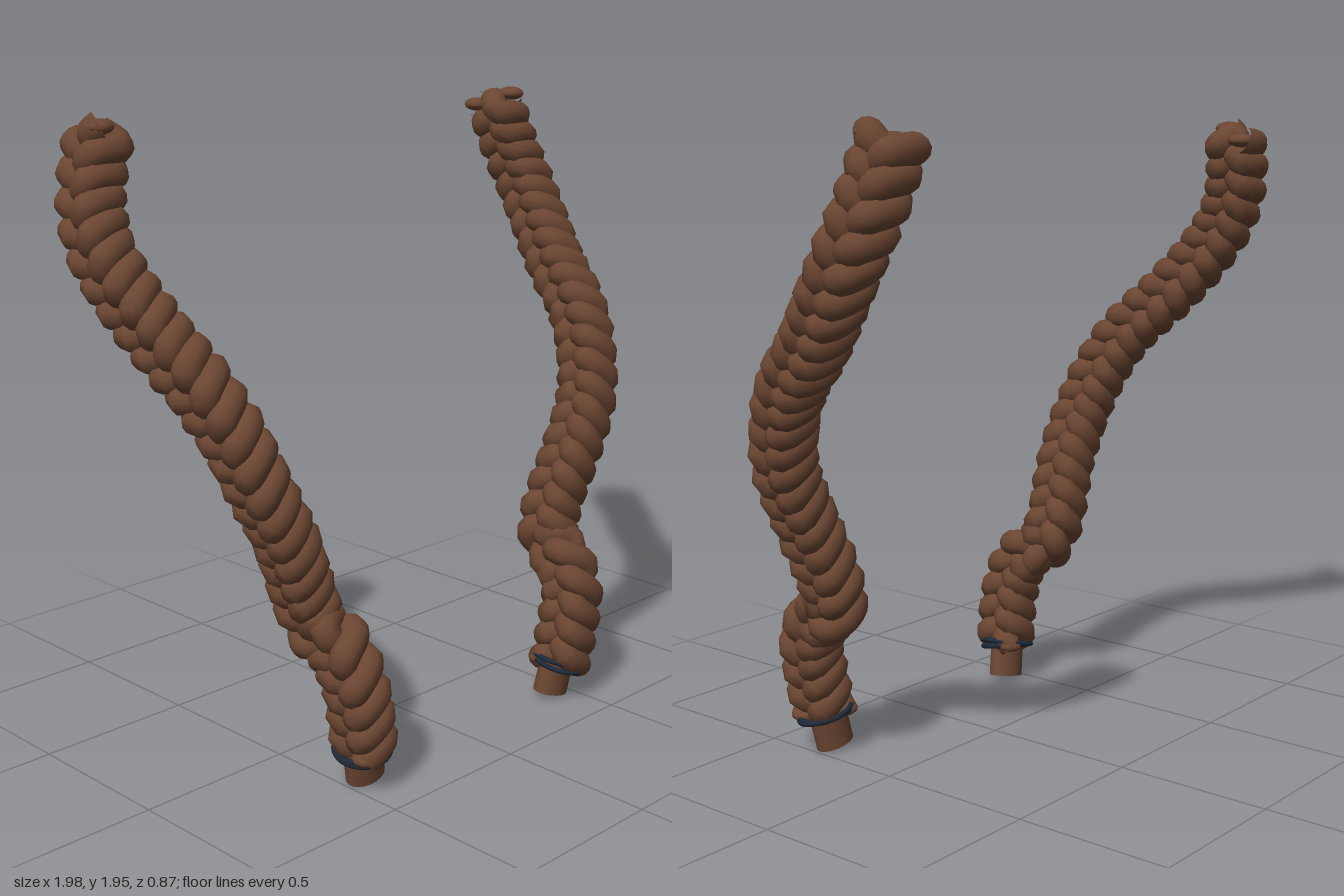
import * as THREE from 'three';

const hair = new THREE.MeshStandardMaterial({ color: 0x6b4632 });
hair.name = 'brownHair';
const tie = new THREE.MeshStandardMaterial({ color: 0x1f2937 });
tie.name = 'darkBlueTie';

// Centre line of the braid on the +x side, from the tie up to the root
const PATH = [
  [0.45, 0.12, 0.32], [0.475, 0.25, 0.33], [0.50, 0.37, 0.32], [0.51, 0.45, 0.27],
  [0.525, 0.49, 0.20], [0.555, 0.59, 0.18], [0.63, 0.77, 0.195], [0.72, 0.95, 0.185],
  [0.77, 1.10, 0.135], [0.81, 1.22, 0.06], [0.85, 1.35, -0.07], [0.89, 1.48, -0.18],
  [0.905, 1.60, -0.26], [0.88, 1.73, -0.315], [0.825, 1.89, -0.34],
];
const TURNS = 9;
const WIDE = 0.055, DEEP = 0.042, RADIUS = 0.045;

// One of three strands, weaving a figure of eight around the centre line
class Strand extends THREE.Curve {
  constructor(spine, side, phase) {
    super();
    Object.assign(this, { spine, side, phase });
  }
  getPoint(u, target = new THREE.Vector3()) {
    const t = this.spine.getTangentAt(u);
    const n = new THREE.Vector3(this.side, 0, 0);
    n.addScaledVector(t, -n.dot(t)).normalize();
    const w = new THREE.Vector3().crossVectors(t, n).multiplyScalar(this.side);
    const a = u * TURNS * Math.PI * 2 + this.phase;
    return target.copy(this.spine.getPointAt(u))
      .addScaledVector(w, WIDE * Math.sin(a))
      .addScaledVector(n, DEEP * Math.sin(2 * a));
  }
}

function addMesh(parent, name, geometry, material) {
  const mesh = new THREE.Mesh(geometry, material);
  mesh.name = name;
  parent.add(mesh);
  return mesh;
}

function makeBraid(side) {
  const braid = new THREE.Group();
  braid.name = side > 0 ? 'leftBraid' : 'rightBraid';
  const spine = new THREE.CatmullRomCurve3(
    PATH.map(([x, y, z]) => new THREE.Vector3(side * x, y, z)));

  // Interwoven strands with rounded ends
  for (let i = 0; i < 3; i++) {
    const strand = new Strand(spine, side, i * Math.PI * 2 / 3);
    addMesh(braid, 'strand', new THREE.TubeGeometry(strand, 240, RADIUS, 12), hair);
    for (const u of [0, 1]) {
      const end = addMesh(braid, 'strandEnd', new THREE.SphereGeometry(RADIUS, 12, 8), hair);
      end.position.copy(strand.getPoint(u));
      end.scale.y = 0.5;
    }
  }

  // Loose tail below the tie
  const axis = new THREE.Vector3(side * 0.2, 1, 0.1).normalize();
  const up = new THREE.Vector3(0, 1, 0);
  const tail = addMesh(braid, 'tail', new THREE.CylinderGeometry(0.066, 0.066, 0.16, 20), hair);
  tail.scale.z = 0.74;
  tail.quaternion.setFromUnitVectors(up, axis);
  tail.position.set(side * 0.442, 0.092, 0.308);

  // Hair tie of two thin loops wound at slightly different tilts
  for (const k of [-1, 1]) {
    const ring = new THREE.TorusGeometry(0.083, 0.009, 8, 32).rotateX(Math.PI / 2);
    const loop = addMesh(braid, 'hairTie', ring, tie);
    const normal = new THREE.Vector3(side * (0.22 + 0.05 * k), 1, 0.15 - 0.06 * k).normalize();
    loop.quaternion.setFromUnitVectors(up, normal);
    loop.position.set(side * 0.452, 0.12 + 0.006 * k, 0.315);
  }
  return braid;
}

export function createModel() {
  const model = new THREE.Group();
  model.name = 'braids';
  model.add(makeBraid(1), makeBraid(-1));
  return model;
}
